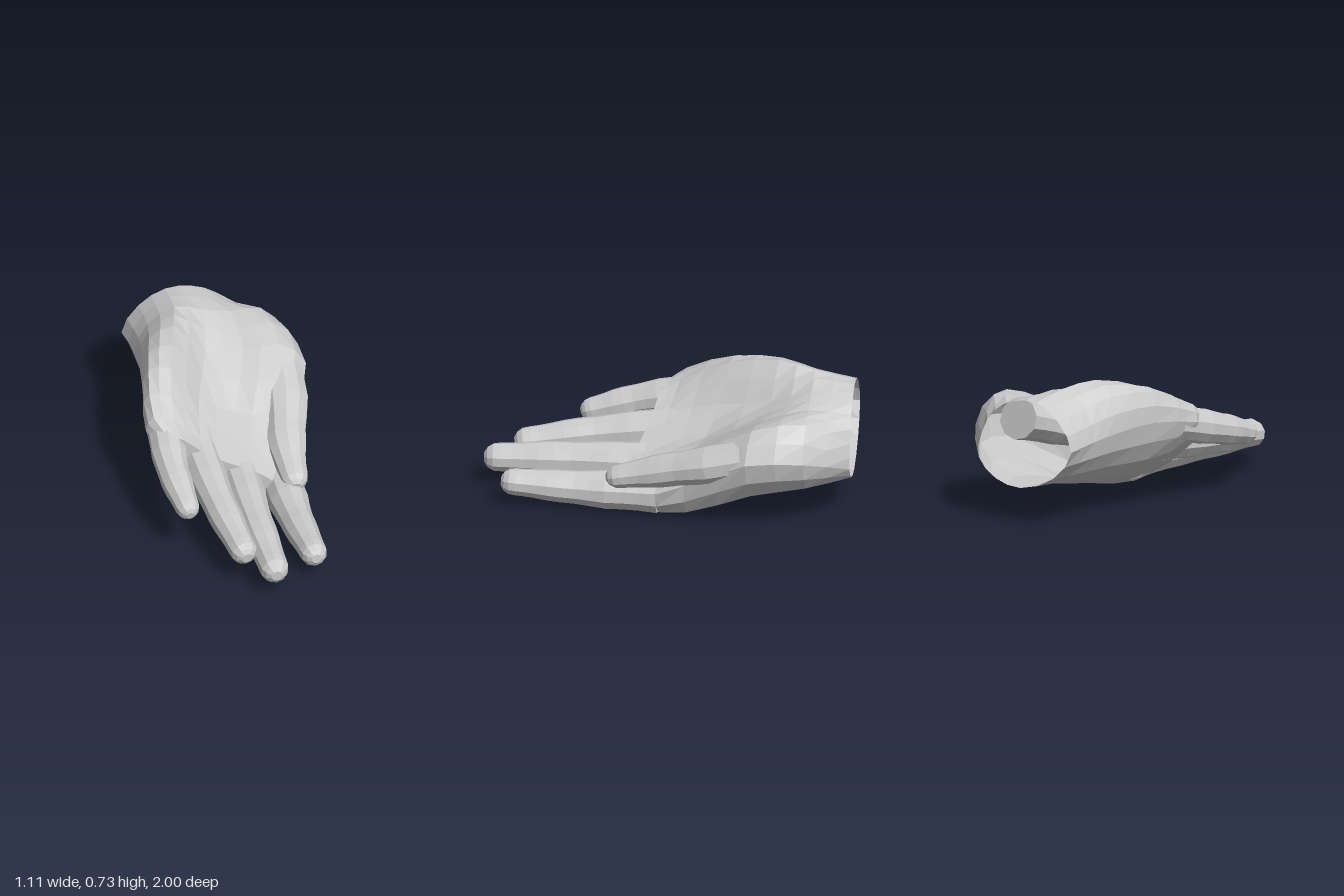
import * as THREE from 'three';

const material = new THREE.MeshStandardMaterial({ color: 0xcccccc, flatShading: true, side: THREE.DoubleSide });

// Skin a list of rings (each a loop of points, clockwise seen from +z), with optional end caps.
function loft(name, rings, capStart, capEnd) {
  const n = rings[0].length;
  const points = rings.flat();
  const index = [];
  for (let i = 0; i < rings.length - 1; i++) {
    for (let j = 0; j < n; j++) {
      const a = i * n + j, b = i * n + (j + 1) % n, c = b + n, d = a + n;
      index.push(a, d, c, a, c, b);
    }
  }
  const cap = (row, flip) => {
    const m = points.push(centroid(rings[row])) - 1;
    for (let j = 0; j < n; j++) {
      const a = row * n + j, b = row * n + (j + 1) % n;
      index.push(m, flip ? a : b, flip ? b : a);
    }
  };
  if (capStart) cap(0, true);
  if (capEnd) cap(rings.length - 1, false);
  const geometry = new THREE.BufferGeometry().setFromPoints(points);
  geometry.setIndex(index);
  geometry.computeVertexNormals();
  const mesh = new THREE.Mesh(geometry, material);
  mesh.name = name;
  return mesh;
}

function centroid(loop) {
  return loop.reduce((sum, p) => sum.addScaledVector(p, 1 / loop.length), new THREE.Vector3());
}

// A digit runs through path points [x, y, z]; radii are spread evenly from root to tip.
function digit(name, path, radii, flat = 1) {
  const sides = 10, steps = 14;
  const curve = new THREE.CatmullRomCurve3(path.map((p) => new THREE.Vector3(...p)));
  const tip = curve.getPoint(1);
  const up = new THREE.Vector3(0, 1, 0);
  const rings = Array.from({ length: steps }, (_, k) => {
    const t = Math.sin((k / steps) * Math.PI / 2); // rings crowd towards the tip
    const centre = curve.getPoint(t);
    const tangent = curve.getTangent(t);
    const side = new THREE.Vector3().crossVectors(up, tangent).normalize();
    const rise = new THREE.Vector3().crossVectors(tangent, side);
    const s = t * (radii.length - 1), i = Math.floor(s);
    let r = THREE.MathUtils.lerp(radii[i], radii[i + 1], s - i);
    r *= 1 + 0.03 * Math.cos(t * Math.PI * 6); // knuckle swelling
    const d = Math.min(1, centre.distanceTo(tip) / r);
    r *= Math.sqrt(1 - (1 - d) ** 2); // rounded tip
    return Array.from({ length: sides }, (_, j) => {
      const a = ((j + 0.5) / sides) * Math.PI * 2;
      return centre.clone()
        .addScaledVector(side, -Math.cos(a) * r)
        .addScaledVector(rise, Math.sin(a) * r * flat);
    });
  });
  return loft(name, rings, true, true);
}

// One palm cross-section: outer edge, over the palm, thumb edge, back of hand; "skew" slants it in z.
function section(z, skew, outline) {
  const curve = new THREE.CatmullRomCurve3(outline.map(([x, y]) => new THREE.Vector3(x, y, z + skew * x)), true);
  return Array.from({ length: 20 }, (_, j) => curve.getPoint(j / 20));
}

function palm() {
  const wrist = section(-0.985, -0.3, [[-0.55, 0.43], [-0.46, 0.59], [-0.32, 0.67], [-0.18, 0.66], [-0.05, 0.59], [0.03, 0.46], [0.05, 0.32], [-0.06, 0.22], [-0.22, 0.19], [-0.43, 0.27]]);
  const heel = section(-0.75, -0.28, [[-0.48, 0.45], [-0.41, 0.62], [-0.27, 0.71], [-0.12, 0.66], [0.03, 0.62], [0.19, 0.61], [0.31, 0.43], [0.2, 0.24], [-0.12, 0.17], [-0.4, 0.27]]);
  const thumbRoot = section(-0.5, -0.12, [[-0.45, 0.47], [-0.4, 0.66], [-0.27, 0.73], [-0.1, 0.56], [0.1, 0.54], [0.29, 0.57], [0.435, 0.43], [0.32, 0.2], [-0.05, 0.125], [-0.36, 0.27]]);
  const hollow = section(-0.18, 0, [[-0.43, 0.49], [-0.4, 0.65], [-0.28, 0.66], [-0.13, 0.48], [0.06, 0.37], [0.24, 0.36], [0.38, 0.22], [0.34, 0.05], [0, 0.09], [-0.34, 0.27]]);
  const knuckles = section(0.1, 0, [[-0.41, 0.45], [-0.37, 0.54], [-0.26, 0.51], [-0.12, 0.4], [0.06, 0.31], [0.24, 0.24], [0.4, 0.12], [0.28, 0.005], [0.04, 0.08], [-0.31, 0.3]]);
  // The web between the fingers is the knuckle section drawn inwards.
  const middle = centroid(knuckles);
  const web = knuckles.map((p) => p.clone().lerp(middle, 0.25).setZ(0.19));
  const loops = [wrist, heel, thumbRoot, hollow, knuckles, web];
  const lines = wrist.map((_, j) => new THREE.CatmullRomCurve3(loops.map((loop) => loop[j])));
  const rings = Array.from({ length: 11 }, (_, i) => lines.map((line) => line.getPoint(i / 10)));
  return loft('palm', rings, false, true); // open at the wrist
}

export function createModel() {
  const hand = new THREE.Group();
  hand.name = 'hand';
  hand.add(
    palm(),
    digit('littleFinger', [[-0.32, 0.445, 0], [-0.265, 0.36, 0.33], [-0.165, 0.275, 0.63]], [0.1, 0.092, 0.08, 0.06]),
    digit('ringFinger', [[-0.155, 0.31, 0], [-0.025, 0.25, 0.45], [0.14, 0.185, 0.89]], [0.115, 0.098, 0.087, 0.07]),
    digit('middleFinger', [[0.06, 0.185, 0], [0.17, 0.17, 0.5], [0.3, 0.15, 1]], [0.12, 0.1, 0.09, 0.074]),
    digit('indexFinger', [[0.29, 0.117, 0], [0.388, 0.113, 0.41], [0.508, 0.135, 0.82]], [0.113, 0.104, 0.085, 0.07]),
    digit('thumb', [[0.28, 0.43, -0.58], [0.33, 0.35, -0.31], [0.34, 0.27, -0.03], [0.395, 0.2, 0.26]], [0.13, 0.12, 0.103, 0.066], 0.85),
  );
  return hand;
}
